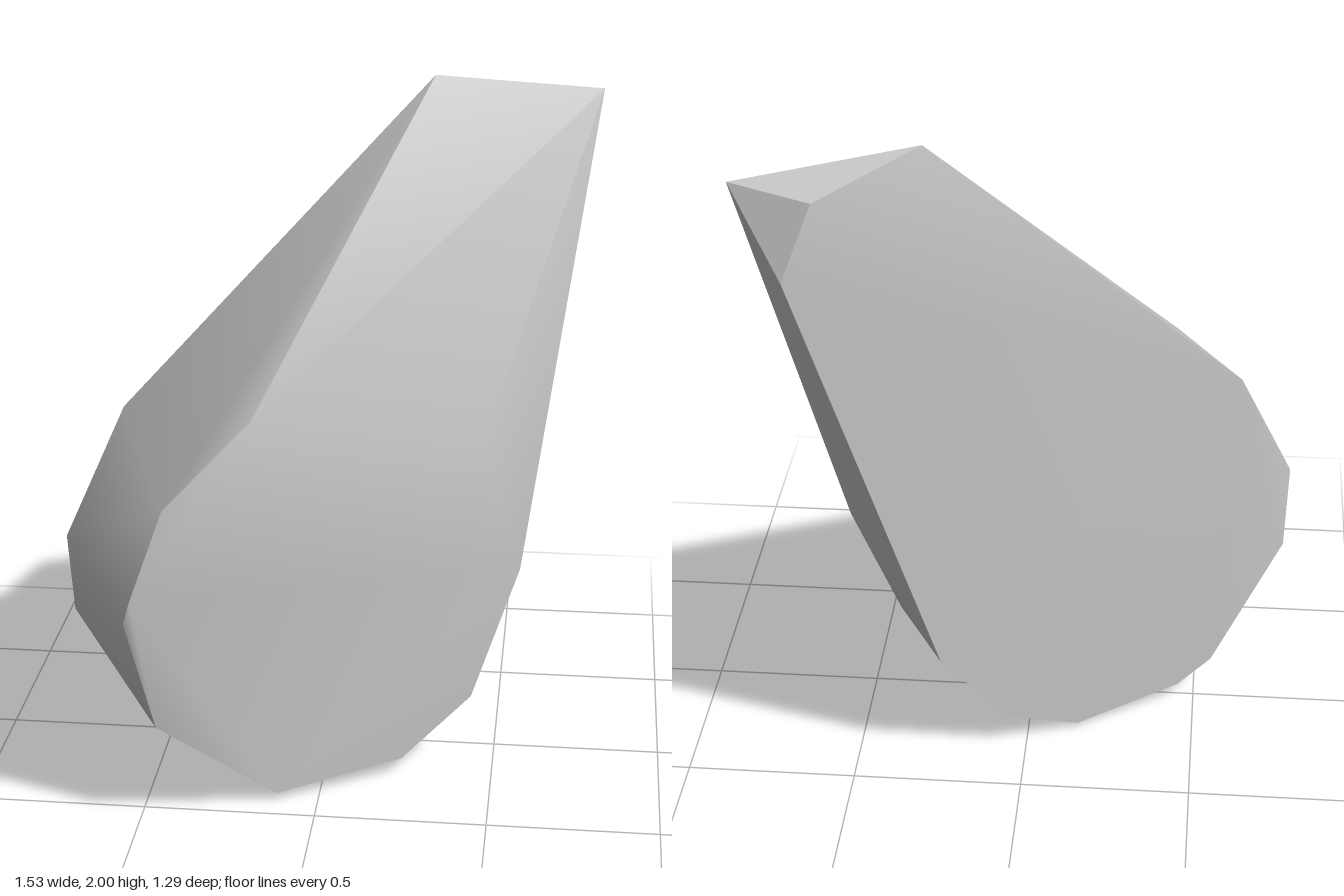
import * as THREE from 'three';
import { toCreasedNormals } from 'three/addons/utils/BufferGeometryUtils.js';
import { ConvexGeometry } from 'three/addons/geometries/ConvexGeometry.js';

export function createModel() {
  const group = new THREE.Group();
  group.name = 'rock';
  const stone = new THREE.MeshStandardMaterial({ color: 0xc7c7c7 });
  stone.name = 'pale grey stone';

  // The slab's two broad faces are parallel upright planes, z = depth + slope * x
  const slope = -0.588;
  const onPlane = (depth, outline) =>
    outline.map(([x, y]) => new THREE.Vector3(x, y, depth + slope * x));

  // Outline of the broad front face
  const front = onPlane(0.352, [
    [-0.18, 1.2], [-0.41, 0.98], [-0.5, 0.72], [-0.44, 0.32],
    [-0.12, 0.025], [0.23, 0.05], [0.43, 0.21], [0.565, 0.6], [0.45, 1.02],
  ]);

  // Outline of the broad back face
  const back = onPlane(-0.287, [
    [0.53, 1.92], [0.61, 1.71], [0.24, 0.38], [0.05, 0.11], [-0.15, 0.012],
    [-0.45, 0.05], [-0.55, 0.11], [-0.76, 0.47], [-0.61, 1.09],
  ]);

  // Corners between the two faces: tip, left flank and foot
  const between = [
    [0.265, 2, -0.38], [0.763, 1.94, -0.523],
    [-0.77, 0.72, 0.19], [-0.52, 0.65, 0.635], [-0.18, 0, 0.02],
  ].map((p) => new THREE.Vector3(...p));

  // Soft shading over shallow edges, sharp over steep ones
  const geometry = toCreasedNormals(new ConvexGeometry([...front, ...back, ...between]), 0.7);
  const boulder = new THREE.Mesh(geometry, stone);
  boulder.name = 'boulder';
  group.add(boulder);
  return group;
}
